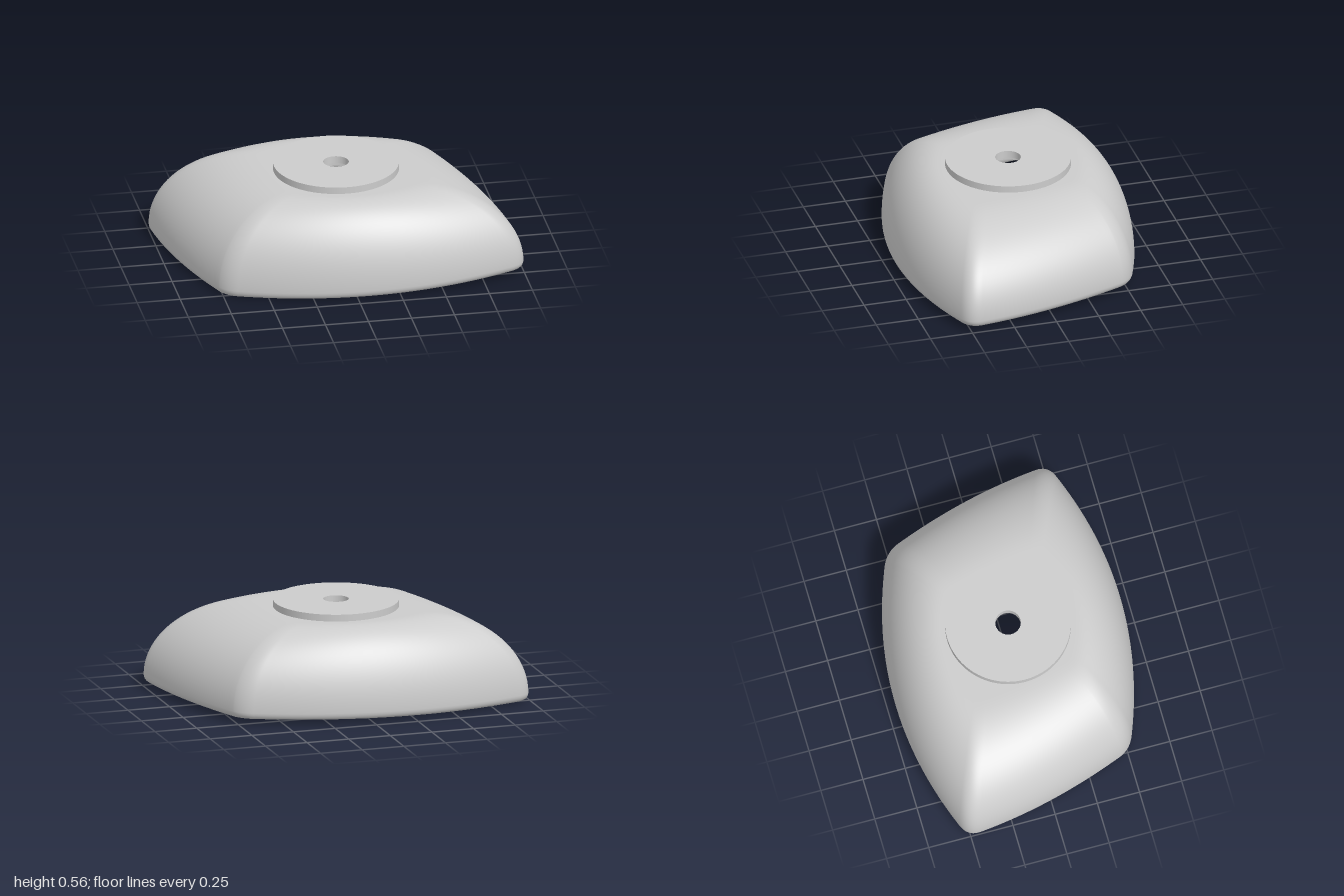
import * as THREE from 'three';

const TOP = 0.52, CEILING = 0.475, HOLE = 0.13;

// Half of the skewed, bulging plan outline; the other half is its point reflection
function planOutline() {
  const v = (x, z) => new THREE.Vector2(x, z);
  const sections = [
    [v(0.77, -0.46), v(0.955, 0.0), v(1.0, 0.44), 28],   // side
    [v(1.0, 0.44), v(1.01, 0.52), v(0.93, 0.55), 12],    // sharp corner
    [v(0.93, 0.55), v(0.13, 0.86), v(-0.66, 0.55), 40],  // front
    [v(-0.66, 0.55), v(-0.735, 0.525), v(-0.77, 0.46), 12], // blunt corner
  ];
  const half = sections.flatMap(([a, b, c, n]) =>
    new THREE.QuadraticBezierCurve(a, b, c).getPoints(n).slice(0, -1));
  return [...half, ...half.map((p) => v(-p.x, -p.y))];
}

// Rows of the shell: plan scale in x and z, height, and blend towards the round hole
function shellRows() {
  const rows = [];
  const add = (sx, sz, y, round = 0) => rows.push({ sx, sz, y, round });
  const dome = (t, kx, kz, y0, y1) => add(
    kx * (1 - 0.58 * (1 - Math.cos(t))), kz * (1 - 0.43 * (1 - Math.cos(t))),
    y0 + (y1 - y0) * Math.sin(t));
  const N = 24;
  // outer plateau and dome, going down
  for (const r of [1, 0.66, 0.33, 0.08]) add(0.42, 0.57, TOP, r);
  for (let i = N; i >= 0; i--) dome((i / N) * Math.PI / 2, 1, 1, 0.06, TOP);
  // rounded rim
  for (let i = 1; i < 10; i++) {
    const t = (i / 10) * Math.PI, k = (1 - Math.cos(t)) / 2;
    add(1 - 0.055 * k, 1 - 0.075 * k, 0.06 - 0.04 * Math.sin(t));
  }
  // inner dome and ceiling, going up
  for (let i = 0; i <= N; i++) dome((i / N) * Math.PI / 2, 0.945, 0.925, 0.06, CEILING);
  for (const r of [0.08, 0.33, 0.66, 1]) add(0.397, 0.527, CEILING, r);
  return rows;
}

function shellGeometry() {
  const outline = planOutline(), rows = shellRows(), n = outline.length;
  const pos = [], index = [];
  for (const { sx, sz, y, round } of rows) {
    for (const p of outline) {
      let x = p.x * sx, z = p.y * sz;
      const a = Math.atan2(z, x);
      x += (Math.cos(a) * HOLE - x) * round;
      z += (Math.sin(a) * HOLE - z) * round;
      // the open rim is slightly tilted, the top stays level
      const tilt = (0.018 * x - 0.008 * z) * Math.max(0, 1 - y / CEILING);
      pos.push(x, y + tilt, z);
    }
  }
  for (let j = 0; j < rows.length - 1; j++) {
    for (let i = 0; i < n; i++) {
      const a = j * n + i, b = j * n + (i + 1) % n, c = a + n, d = b + n;
      index.push(a, b, c, b, d, c);
    }
  }
  const g = new THREE.BufferGeometry();
  g.setAttribute('position', new THREE.Float32BufferAttribute(pos, 3));
  g.setIndex(index);
  g.computeVertexNormals();
  return g;
}

export function createModel() {
  const group = new THREE.Group();
  const grey = new THREE.MeshStandardMaterial({ color: 0xcccccc, side: THREE.DoubleSide });
  const add = (name, geometry) => {
    const mesh = new THREE.Mesh(geometry, grey);
    mesh.name = name;
    group.add(mesh);
    return mesh;
  };

  // Hollow domed shell
  add('shell', shellGeometry());

  // Wall of the round opening in the ceiling
  add('openingWall', new THREE.CylinderGeometry(HOLE, HOLE, TOP - CEILING, 64, 1, true))
    .position.y = (TOP + CEILING) / 2;

  // Mounting disc with a centre hole
  const disc = new THREE.Shape().absarc(0, 0, 0.36, 0, Math.PI * 2);
  disc.holes.push(new THREE.Path().absarc(0, 0, 0.073, 0, Math.PI * 2, true));
  const discGeometry = new THREE.ExtrudeGeometry(disc, { depth: 0.042, bevelEnabled: false, curveSegments: 96 });
  discGeometry.rotateX(-Math.PI / 2);
  add('mountingDisc', discGeometry).position.y = TOP - 0.002;

  return group;
}
